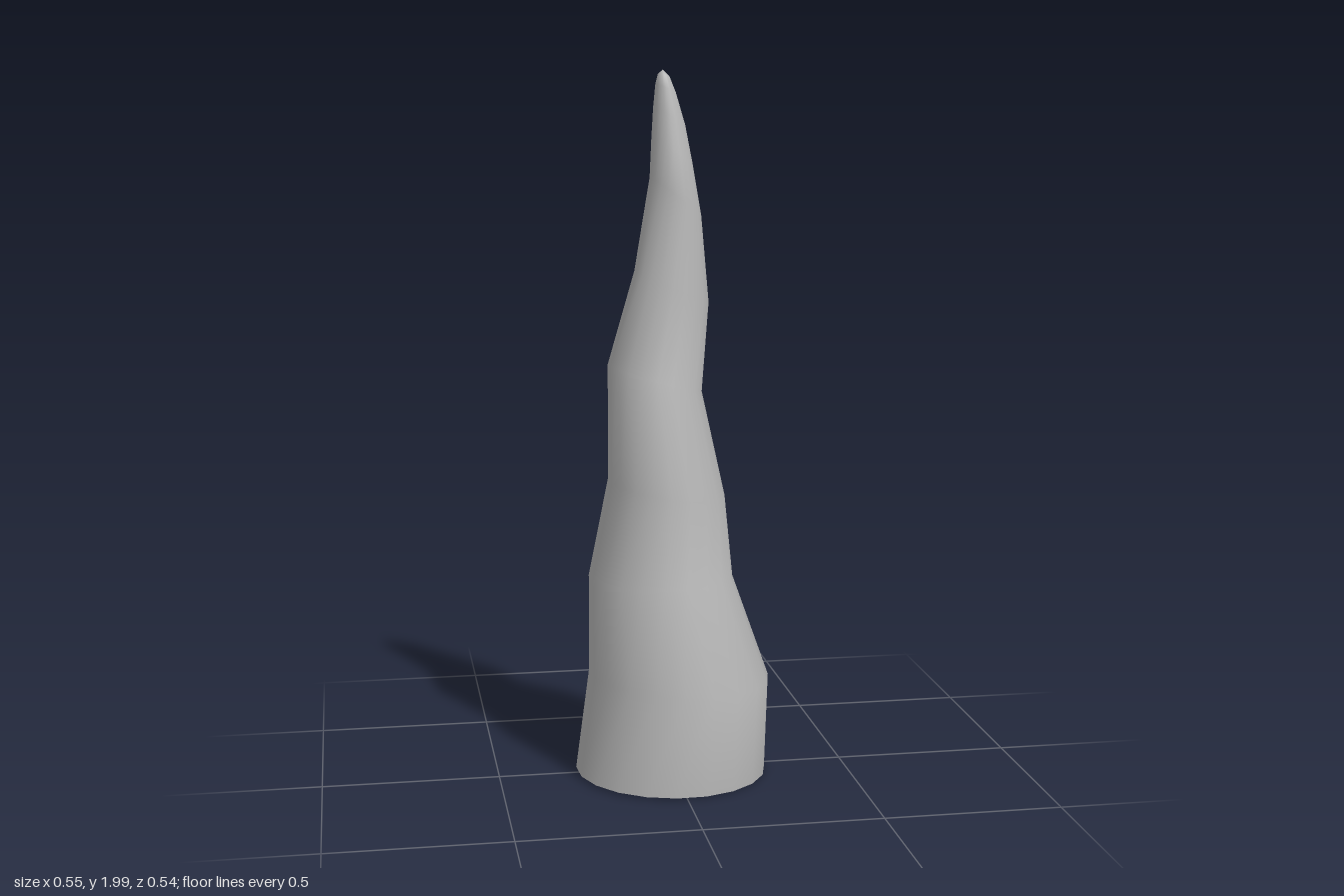
import * as THREE from 'three';

const SIDES = 20;
// Rings up the spike: [height, left x, right x, back z, front z, slope of y along x]
const RINGS = [
  [0.01, -0.277, 0.27, -0.267, 0.272, -0.015],
  [0.295, -0.238, 0.278, -0.262, 0.276, -0.05],
  [0.58, -0.236, 0.175, -0.205, 0.196, -0.02],
  [0.835, -0.179, 0.152, -0.206, 0.189, -0.15],
  [1.15, -0.179, 0.085, -0.131, 0.128, -0.3],
  [1.405, -0.102, 0.106, -0.109, 0.089, -0.43],
  [1.655, -0.062, 0.081, -0.064, 0.086, -0.75],
  [1.78, -0.057, 0.057, -0.05, 0.071, -0.65],
  [1.875, -0.052, 0.036, -0.037, 0.057, -0.55],
  [1.95, -0.047, 0.009, -0.014, 0.046, -0.4],
  [1.985, -0.041, -0.009, 0.004, 0.036, -0.2],
];
const TIP = [-0.027, 2, 0.021];

// One tilted elliptical ring of points
function ringPoints([y, xl, xr, zb, zf, slope]) {
  const points = [];
  for (let i = 0; i < SIDES; i++) {
    const a = 0.095 + (i / SIDES) * Math.PI * 2;
    const dx = Math.cos(a) * (xr - xl) / 2;
    points.push((xl + xr) / 2 + dx, Math.max(0, y + dx * slope), (zb + zf) / 2 + Math.sin(a) * (zf - zb) / 2);
  }
  return points;
}

function makeGeometry(positions, index) {
  const g = new THREE.BufferGeometry();
  g.setAttribute('position', new THREE.Float32BufferAttribute(positions, 3));
  g.setIndex(index);
  g.computeVertexNormals();
  return g;
}

export function createModel() {
  const group = new THREE.Group();
  group.name = 'stalagmite';
  const stone = new THREE.MeshStandardMaterial({ color: 0xb8b8b8 });
  stone.name = 'grey stone';

  // Smooth bent spike, closed by a rounded tip
  const positions = [...RINGS.flatMap(ringPoints), ...TIP];
  const index = [];
  const last = RINGS.length - 1;
  for (let i = 0; i < SIDES; i++) {
    const j = (i + 1) % SIDES;
    for (let r = 0; r < last; r++) {
      const a = r * SIDES + i, b = r * SIDES + j;
      index.push(a, a + SIDES, b, b, a + SIDES, b + SIDES);
    }
    index.push(last * SIDES + i, RINGS.length * SIDES, last * SIDES + j);
  }
  const spike = new THREE.Mesh(makeGeometry(positions, index), stone);
  spike.name = 'spike';

  // Flat underside
  const baseIndex = [];
  for (let i = 1; i < SIDES - 1; i++) baseIndex.push(0, i, i + 1);
  const base = new THREE.Mesh(makeGeometry(ringPoints(RINGS[0]), baseIndex), stone);
  base.name = 'base';

  group.add(spike, base);
  return group;
}
